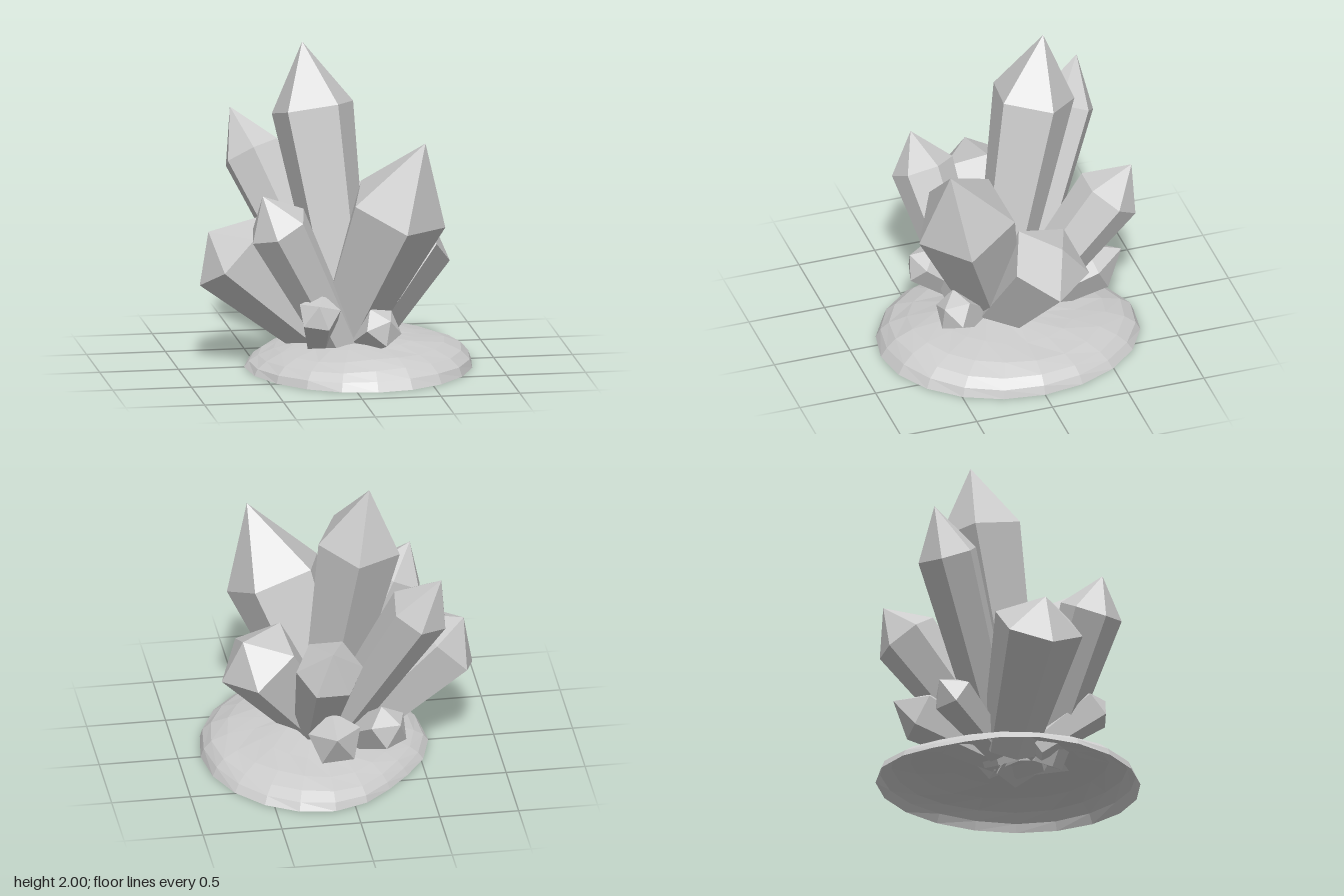
import * as THREE from 'three';

const material = new THREE.MeshStandardMaterial({ color: 0xcccccc, flatShading: true, side: THREE.DoubleSide });
const v = (a) => new THREE.Vector3(...a);

// Tapered prism with a pointed cap. "neck" is the fraction of the length where
// the cap starts; "corner" is one corner of that ring and sets radius and twist.
function crystal({ name, base, tip, corner, sides = 6, neck = 0.81, taper = 0.6 }) {
  const start = v(base);
  const axis = v(tip).sub(start);
  const length = axis.length();
  axis.normalize();
  const spoke = v(corner).sub(start);
  spoke.addScaledVector(axis, -spoke.dot(axis));
  const radius = spoke.length();
  spoke.normalize();

  const profile = [[0, 0], [radius * taper, 0], [radius, length * neck], [0, length]]
    .map(([x, y]) => new THREE.Vector2(x, y));
  const geometry = new THREE.LatheGeometry(profile, sides).toNonIndexed();
  const across = new THREE.Vector3().crossVectors(axis, spoke);
  geometry.applyMatrix4(new THREE.Matrix4().makeBasis(across, axis, spoke).setPosition(start));
  geometry.computeVertexNormals();
  const mesh = new THREE.Mesh(geometry, material);
  mesh.name = name;
  return mesh;
}

// Low open-bottomed rock shell, flattened at the back right and lower on the right
function rockBase() {
  const profile = [[1, 0], [0.965, 0.055], [0.89, 0.105], [0.75, 0.147], [0.52, 0.177], [0.27, 0.203], [0, 0.23]]
    .map(([x, y]) => new THREE.Vector2(x, y));
  const indexed = new THREE.LatheGeometry(profile, 20);
  const p = indexed.attributes.position;
  for (let i = 0; i < p.count; i++) {
    const x = p.getX(i), y = p.getY(i), z = p.getZ(i);
    const r = Math.hypot(x, z);
    const a = Math.atan2(z, x);
    const cut = 1 - 0.13 * Math.max(0, Math.cos(a + 2.36)) ** 6;
    const swell = cut * (1 + 0.02 * Math.sin(3 * a + 12 * y) * Math.min(1, y * 12));
    const lift = 1 + r * (0.12 * Math.sin(a) - 0.28 * Math.max(0, -Math.cos(a)) + 0.05 * Math.sin(5 * a + 9 * r));
    p.setXYZ(i, 0.13 + x * 0.727 * swell, y * lift, z * 0.84 * swell);
  }
  const geometry = indexed.toNonIndexed();
  geometry.computeVertexNormals();
  const mesh = new THREE.Mesh(geometry, material);
  mesh.name = 'rockBase';
  return mesh;
}

export function createModel() {
  const model = new THREE.Group();
  model.name = 'crystalCluster';
  model.add(rockBase());

  const crystals = [
    // Large crystals
    { name: 'mainCrystal', base: [0.08, 0.11, 0.08], tip: [-0.16, 2, -0.33], corner: [0.015, 1.66, -0.01], sides: 5, neck: 0.785, taper: 0.52 },
    { name: 'frontLeftCrystal', base: [0, 0.11, 0.04], tip: [0.485, 1.51, 0.5], corner: [0.345, 0.96, 0.66], sides: 5, neck: 0.68, taper: 0.52 },
    { name: 'frontRightCrystal', base: [0.02, 0.11, 0.2], tip: [-0.535, 1.19, 0.42], corner: [-0.445, 0.895, 0.56] },
    { name: 'rightCrystal', base: [-0.05, 0.15, -0.05], tip: [-0.805, 0.87, -0.03], corner: [-0.86, 0.53, 0], neck: 0.82 },
    { name: 'leftCrystal', base: [0.08, 0.11, 0.07], tip: [0.62, 0.905, -0.195], corner: [0.75, 0.61, -0.14], sides: 5 },
    { name: 'backRightCrystal', base: [0.06, 0.1, -0.06], tip: [-0.56, 1.515, -0.685], corner: [-0.605, 1.21, -0.46] },
    { name: 'backCrystal', base: [0.14, 0.12, -0.015], tip: [0.145, 1.11, -0.81], corner: [0.355, 0.915, -0.655] },
    // Small crystals around the foot
    { name: 'smallFrontRightCrystal', base: [-0.13, 0.13, 0.1], tip: [-0.195, 0.495, 0.54], corner: [-0.05, 0.455, 0.48], sides: 5, neck: 0.84 },
    { name: 'smallFrontLeftCrystal', base: [0.08, 0.13, 0.12], tip: [0.27, 0.365, 0.465], corner: [0.165, 0.44, 0.39], sides: 5 },
    { name: 'smallBackCrystal', base: [0.05, 0.13, -0.05], tip: [0.11, 0.46, -0.755], corner: [0.11, 0.555, -0.55], sides: 5, neck: 0.76 },
    { name: 'smallBackRightCrystal', base: [-0.03, 0.13, -0.1], tip: [-0.32, 0.44, -0.58], corner: [-0.13, 0.4, -0.53], sides: 5 },
  ];
  for (const spec of crystals) model.add(crystal(spec));
  return model;
}
